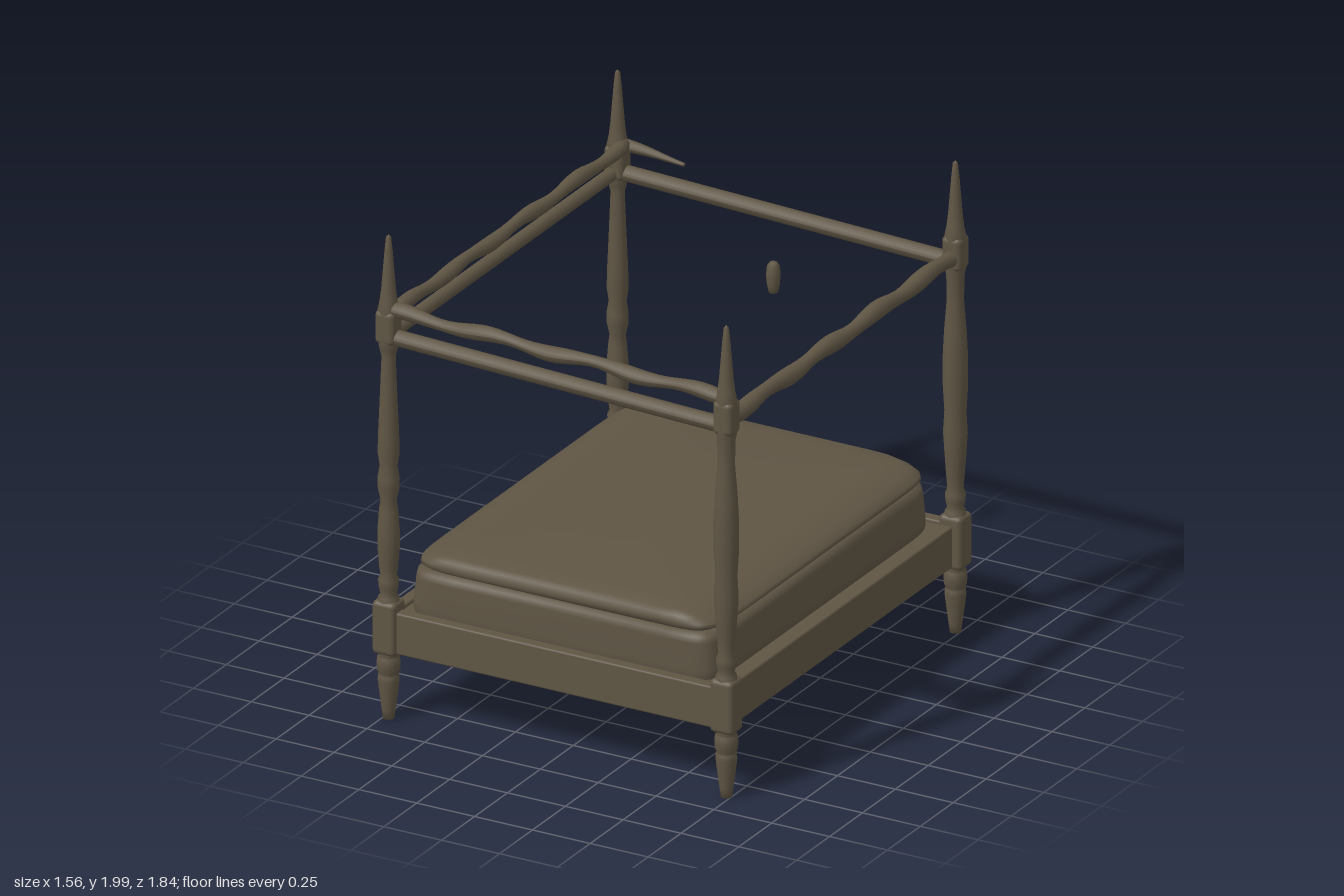
import * as THREE from 'three';
import { RoundedBoxGeometry } from 'three/addons/geometries/RoundedBoxGeometry.js';

export function createModel() {
  const group = new THREE.Group();
  const wood = new THREE.MeshStandardMaterial({ color: 0x5f5544 });
  wood.name = 'dark olive brown';

  function add(name, geometry, x = 0, y = 0, z = 0) {
    const mesh = new THREE.Mesh(geometry, wood);
    mesh.name = name;
    mesh.position.set(x, y, z);
    group.add(mesh);
    return mesh;
  }

  // Turned part from [radius, height] pairs
  const turned = (pairs, sides = 16) =>
    new THREE.LatheGeometry(pairs.map(([r, y]) => new THREE.Vector2(r, y)), sides);

  // Round rail between two points; lumps swell and bend it like hand-carved wood
  function rail(name, from, to, radius, lumps = 0, phase = 0, taper = 0) {
    const a = new THREE.Vector3(...from), b = new THREE.Vector3(...to);
    const length = a.distanceTo(b), steps = 40, pairs = [[0, 0]];
    for (let i = 0; i <= steps; i++) {
      const t = i / steps;
      const swell = 1 + lumps * 0.16 * Math.sin(t * length * 19 + phase);
      pairs.push([radius * swell * (1 - taper * t), t * length]);
    }
    pairs.push([0, length]);
    const geo = turned(pairs, 12);
    const dir = b.clone().sub(a).normalize();
    geo.applyQuaternion(new THREE.Quaternion().setFromUnitVectors(new THREE.Vector3(0, 1, 0), dir));
    const p = geo.attributes.position;
    for (let i = 0; i < p.count; i++) {
      const along = p.getX(i) * dir.x + p.getZ(i) * dir.z;
      p.setY(i, p.getY(i) + lumps * 0.008 * Math.sin(along * 15 + phase * 2));
    }
    geo.computeVertexNormals();
    add(name, geo, ...from);
  }

  // Soft rectangular body lofted from [y, half width, half depth] levels
  function softBody(levels, power) {
    const n = 64, pos = [], index = [];
    const soft = v => Math.sign(v) * Math.pow(Math.abs(v), power);
    for (const [y, hx, hz] of levels) {
      for (let j = 0; j < n; j++) {
        const t = ((j + 0.5) / n) * Math.PI * 2;
        pos.push(hx * soft(Math.cos(t)), y, hz * soft(Math.sin(t)));
      }
    }
    for (let i = 0; i < levels.length - 1; i++) {
      for (let j = 0; j < n; j++) {
        const a = i * n + j, b = i * n + (j + 1) % n;
        index.push(a, a + n, b, b, a + n, b + n);
      }
    }
    const geo = new THREE.BufferGeometry();
    geo.setAttribute('position', new THREE.Float32BufferAttribute(pos, 3));
    geo.setIndex(index);
    geo.computeVertexNormals();
    return geo;
  }

  // Four posts; the left pair is a little shorter and plainer in the shaft
  const PX = 0.73, PZ = 0.87;
  const foot = [[0, 0.01], [0.022, 0.01], [0.027, 0.05], [0.036, 0.12], [0.042, 0.17], [0.04, 0.19],
    [0.035, 0.195], [0.044, 0.21], [0.046, 0.24], [0.043, 0.265], [0.036, 0.27], [0.045, 0.3]];
  const neck = [[0.045, 0.48], [0.04, 0.51], [0.031, 0.525], [0.038, 0.55], [0.04, 0.58], [0.031, 0.6]];
  const knobShaft = [[0.036, 0.63], [0.043, 0.72], [0.043, 0.78], [0.036, 0.87], [0.031, 0.91], [0.042, 0.96],
    [0.042, 1.0], [0.034, 1.05], [0.042, 1.1], [0.04, 1.18], [0.034, 1.32], [0.027, 1.5]];
  const plainShaft = [[0.035, 0.65], [0.042, 0.75], [0.047, 0.83], [0.042, 0.92], [0.048, 1.02],
    [0.048, 1.15], [0.043, 1.25], [0.033, 1.38], [0.024, 1.5]];
  const finial = [[0.035, 1.53], [0.043, 1.57], [0.042, 1.69], [0.034, 1.73], [0.028, 1.78], [0.024, 1.83],
    [0.016, 1.93], [0.01, 1.99], [0, 2]];
  for (const sx of [-1, 1]) {
    const drop = sx > 0 ? 0.05 : 0;
    const top = finial.map(([r, y]) => [r, y - drop]);
    for (const sz of [-1, 1]) {
      const x = sx * PX, z = sz * PZ;
      add('post', turned([...foot, ...neck, ...(sx > 0 ? plainShaft.slice(0, -1) : knobShaft), ...top]), x, 0, z);
      add('postBlock', new RoundedBoxGeometry(0.1, 0.22, 0.095, 3, 0.02), x, 0.39, z);
      add('canopyJoint', new RoundedBoxGeometry(0.084, 0.14, 0.084, 3, 0.022), x, 1.625 - drop, z);
    }
  }

  // Lower bed frame: boards and closed underside
  for (const s of [-1, 1]) {
    add('endBoard', new RoundedBoxGeometry(1.4, 0.17, 0.05, 2, 0.008), 0, 0.375, s * 0.873);
    add('sideBoard', new RoundedBoxGeometry(0.05, 0.17, 1.68, 2, 0.008), s * 0.717, 0.375, 0);
  }
  add('basePanel', new THREE.BoxGeometry(1.42, 0.14, 1.74), 0, 0.375, 0);

  // Mattress and domed cover
  add('mattress', softBody([[0.43, 0.665, 0.84], [0.46, 0.672, 0.845], [0.48, 0.672, 0.845], [0.59, 0.66, 0.845],
    [0.615, 0.655, 0.84], [0.63, 0.63, 0.82], [0.632, 0.3, 0.4], [0.632, 0.001, 0.001]], 0.12), -0.01);
  add('cover', softBody([[0.63, 0.001, 0.001], [0.63, 0.6, 0.8], [0.635, 0.635, 0.83], [0.648, 0.655, 0.843],
    [0.665, 0.65, 0.842], [0.685, 0.615, 0.835], [0.702, 0.56, 0.82], [0.711, 0.5, 0.74], [0.72, 0.34, 0.58],
    [0.728, 0.16, 0.38], [0.73, 0.001, 0.001]], 0.14), -0.005);

  // Canopy: plain lower rails
  rail('frontLowerRail', [-PX, 1.583, PZ], [PX, 1.535, PZ], 0.032);
  rail('backLowerRail', [-PX, 1.583, -PZ], [PX, 1.535, -PZ], 0.032);
  rail('rightLowerRail', [-0.738, 1.58, -PZ], [-0.738, 1.58, PZ], 0.028);

  // Canopy: carved wavy rails
  rail('frontUpperRail', [-PX, 1.69, PZ], [PX, 1.65, PZ], 0.027, 1, 0.4);
  rail('rightUpperRail', [-0.703, 1.69, -PZ], [-0.703, 1.69, PZ], 0.027, 0.8, 1.2);
  rail('leftRail', [0.73, 1.56, -PZ], [0.73, 1.56, PZ], 0.032, 0.8, 2.6);

  // Broken piece of the back upper rail and its loose fragment
  rail('backRailStub', [-PX, 1.69, -0.885], [-0.44, 1.675, -0.868], 0.026, 0.4, 0, 0.7);
  add('looseFragment', turned([[0, -0.065], [0.018, -0.06], [0.024, -0.03], [0.028, 0.01], [0.024, 0.05],
    [0.014, 0.063], [0, 0.065]], 12), -0.057, 1.293, -0.87);

  return group;
}
